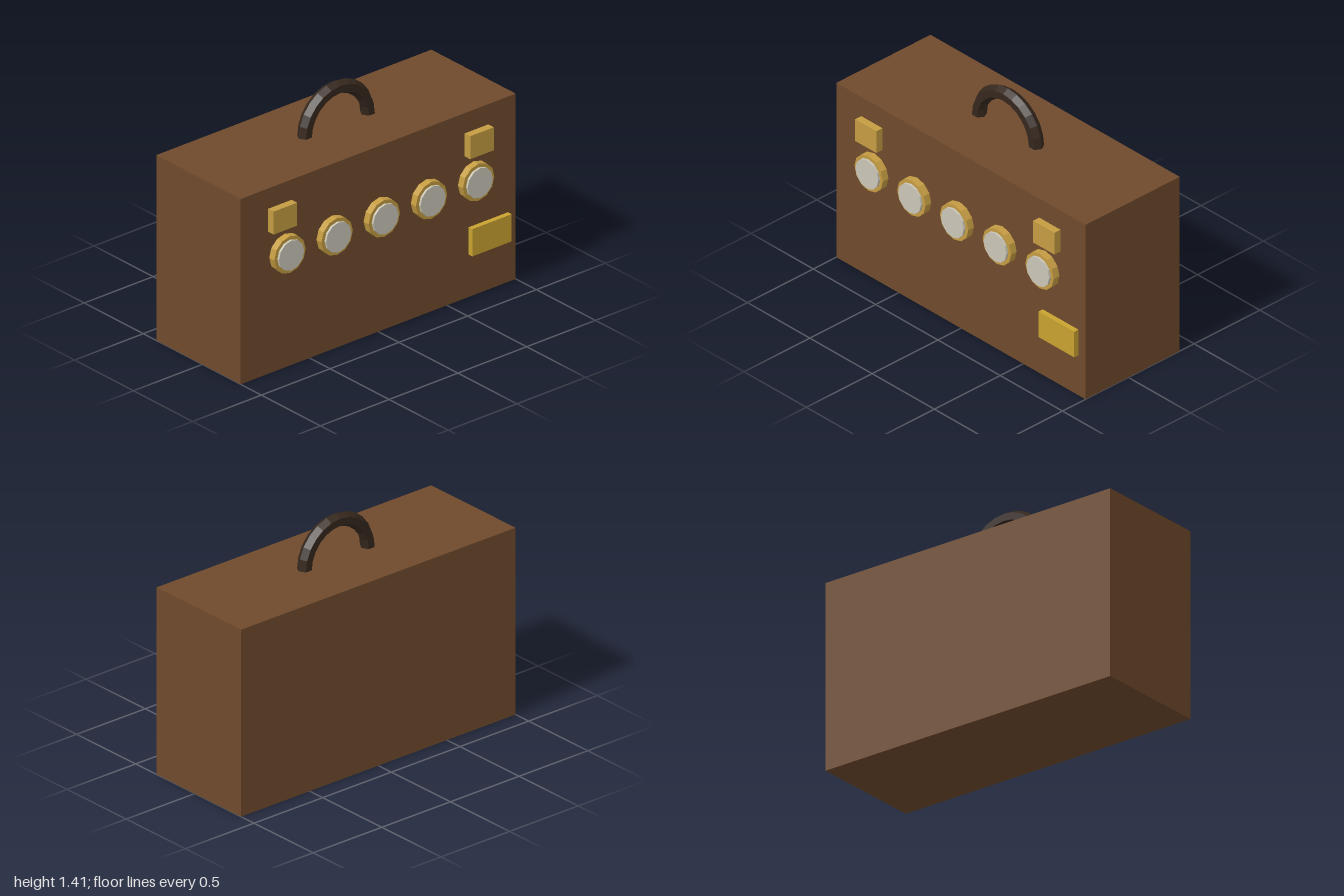
import * as THREE from 'three';

const material = (name, color, flatShading = false) => {
  const m = new THREE.MeshStandardMaterial({ color, flatShading });
  m.name = name;
  return m;
};

export function createModel() {
  const leather = material('brown leather', 0x6f4a2c);
  const grip = material('dark grip', 0x35271d, true);
  const brass = material('brass', 0xc49c42, true);
  const plateGold = material('gold plate', 0xc8a230);
  const dialFace = material('pale dial', 0xcac6b8, true);

  const model = new THREE.Group();
  model.name = 'case';
  const FRONT = 0.325;

  const add = (parent, name, geometry, mat, x, y, z) => {
    const mesh = new THREE.Mesh(geometry, mat);
    mesh.name = name;
    mesh.position.set(x, y, z);
    parent.add(mesh);
    return mesh;
  };

  // Box set by its lower and upper limits on each axis
  const box = (name, mat, [x0, x1], [y0, y1], [z0, z1]) =>
    add(model, name, new THREE.BoxGeometry(x1 - x0, y1 - y0, z1 - z0), mat,
      (x0 + x1) / 2, (y0 + y1) / 2, (z0 + z1) / 2);

  // Disc facing +z between two depths
  const disc = (parent, name, mat, radius, z0, z1) => {
    const geometry = new THREE.CylinderGeometry(radius, radius, z1 - z0, 12).rotateX(Math.PI / 2);
    return add(parent, name, geometry, mat, 0, 0, (z0 + z1) / 2);
  };

  box('body', leather, [-1, 1], [0, 1.143], [-0.39, FRONT]);

  // Half-ring carrying handle with a six-sided section
  add(model, 'handle', new THREE.TorusGeometry(0.229, 0.043, 6, 12, Math.PI), grip, 0, 1.143, -0.032);

  // Clasps in both upper corners and a plate at lower left
  box('rightClasp', brass, [-0.8, -0.629], [0.876, 1.018], [FRONT - 0.01, 0.372]);
  box('leftClasp', brass, [0.629, 0.8], [0.876, 1.018], [FRONT - 0.01, 0.372]);
  box('plate', plateGold, [0.657, 0.943], [0.262, 0.43], [FRONT - 0.01, 0.357]);

  // Row of five dials, each on a short spindle
  for (let i = -2; i <= 2; i++) {
    const dial = new THREE.Group();
    dial.name = `dial${i + 3}`;
    dial.position.set(i * 0.343, 0.718, 0);
    disc(dial, 'spindle', brass, 0.04, FRONT - 0.01, 0.34);
    disc(dial, 'rim', brass, 0.114, 0.334, 0.377);
    disc(dial, 'face', dialFace, 0.092, 0.35, 0.391);
    model.add(dial);
  }

  return model;
}
